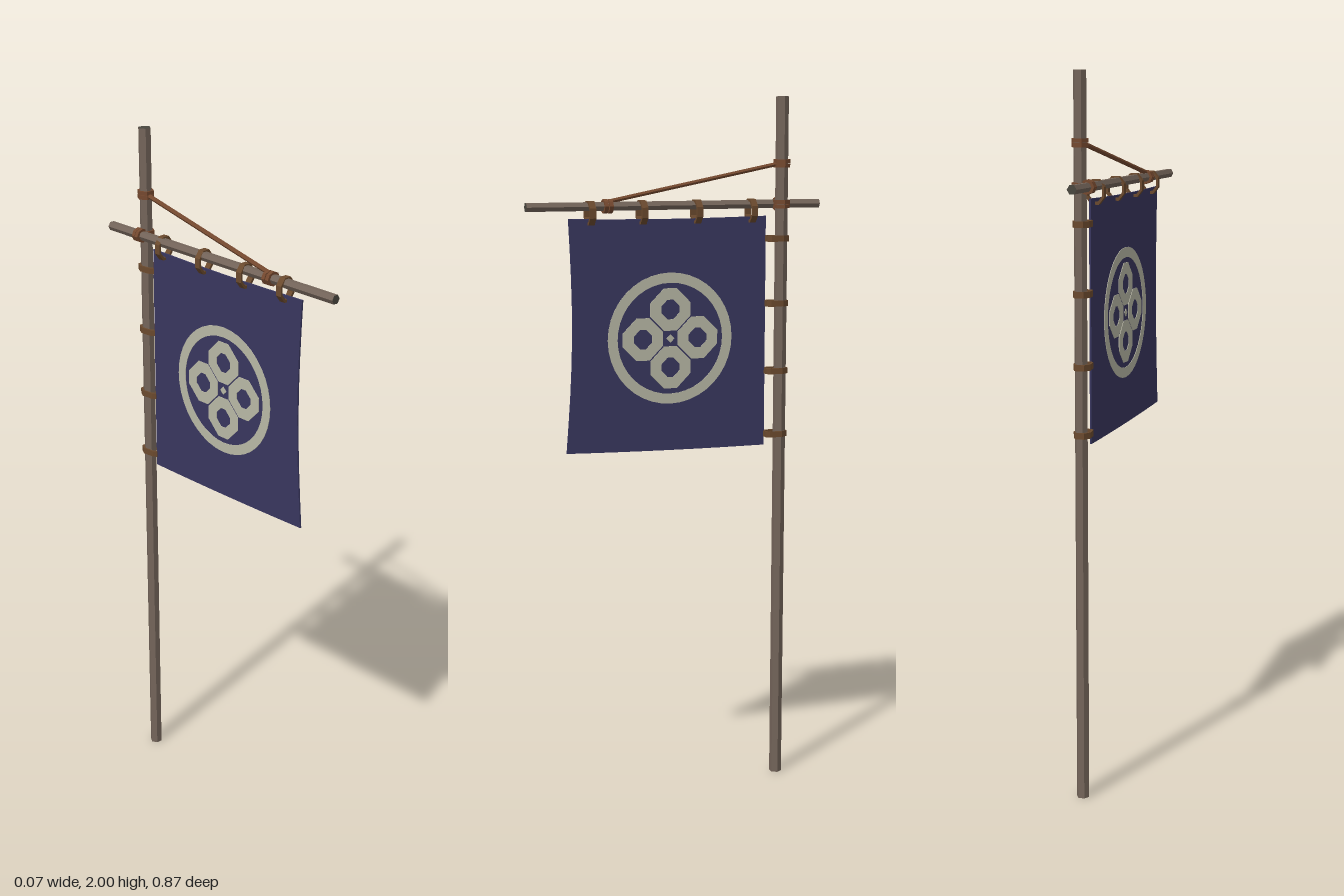
import * as THREE from 'three';

const mat = (name, color, extra = {}) => {
  const m = new THREE.MeshStandardMaterial({ color, flatShading: true, ...extra });
  m.name = name;
  return m;
};

export function createModel() {
  const group = new THREE.Group();
  const wood = mat('weathered wood', 0x74655a);
  const endGrain = mat('dark end grain', 0x4a473f);
  const cord = mat('brown cord', 0x75492f);
  const strap = mat('strap leather', 0x6b4a2e);
  const navy = mat('navy cloth', 0x39375f);
  const cream = mat('cream dye', 0xb9b8a6);

  const add = (name, geometry, material, x = 0, y = 0, z = 0) => {
    const mesh = new THREE.Mesh(geometry, material);
    mesh.name = name;
    mesh.position.set(x, y, z);
    group.add(mesh);
    return mesh;
  };

  // Six-sided rod between two points
  const rod = (name, a, b, radius, materials) => {
    const from = new THREE.Vector3(...a), to = new THREE.Vector3(...b);
    const dir = to.clone().sub(from);
    const g = new THREE.CylinderGeometry(radius, radius, dir.length(), 6);
    g.rotateY(Math.PI / 6);
    const mesh = add(name, g, materials);
    mesh.position.copy(from).add(to).multiplyScalar(0.5);
    mesh.quaternion.setFromUnitVectors(new THREE.Vector3(0, 1, 0), dir.normalize());
    return mesh;
  };

  // Closed band: an outline with a smaller copy cut out, extruded to a width
  const band = (points, inner, width) => {
    const c = new THREE.Vector2();
    points.forEach(p => c.addScaledVector(p, 1 / points.length));
    const shape = new THREE.Shape(points);
    shape.holes.push(new THREE.Path(points.map(p => p.clone().sub(c).multiplyScalar(inner).add(c))));
    const g = new THREE.ExtrudeGeometry(shape, { depth: width, bevelEnabled: false });
    return g.translate(0, 0, -width / 2);
  };
  const oval = (rx, ry, n, turn = 0) => Array.from({ length: n }, (_, i) => {
    const a = turn + i / n * Math.PI * 2;
    return new THREE.Vector2(rx * Math.cos(a), ry * Math.sin(a));
  });

  // Upright pole and the slightly skewed crossbar
  const poleX = 0.008, poleZ = -0.312, barY = 1.7;
  const barX = z => -0.01 + 0.01 * z;
  rod('pole', [poleX, 0, poleZ], [poleX, 2, poleZ], 0.018, [wood, endGrain, endGrain]);
  rod('crossbar', [barX(-0.437), barY, -0.437], [barX(0.437), barY, 0.437], 0.0135, [wood, endGrain, endGrain]);

  // Cord bindings on the pole
  for (const y of [1.808, 1.82, 1.694, 1.706]) {
    const g = band(oval(0.024, 0.024, 6), 0.72, 0.011).rotateX(-Math.PI / 2);
    add('poleBinding', g, cord, poleX, y, poleZ);
  }
  // Cord bindings on the crossbar
  for (const z of [-0.319, -0.307, 0.197, 0.211]) {
    add('crossbarBinding', band(oval(0.022, 0.02, 8), 0.65, 0.011), cord, barX(z), barY, z);
  }
  // Stay cord running from the pole to the crossbar
  rod('stayCord', [0.006, 1.815, poleZ], [-0.009, 1.712, 0.204], 0.0065, cord);

  // Straps hanging the cloth from the crossbar
  for (const z of [0.255, 0.104, -0.058, -0.224]) {
    const strapMesh = add('hangingStrap', band(oval(0.028, 0.036, 8, Math.PI / 8), 0.76, 0.018), strap, -0.004, 1.682, z);
    strapMesh.rotation.y = 0.05;
  }
  // Tapered straps tying the cloth to the pole
  const tie = [[0.012, -0.046], [0.02, -0.036], [0.024, 0], [0.013, 0.02],
    [-0.013, 0.02], [-0.024, 0], [-0.02, -0.036], [-0.012, -0.046]].map(p => new THREE.Vector2(...p));
  for (const y of [1.603, 1.418, 1.223, 1.038]) {
    const g = band(tie, 0.78, 0.017).rotateX(-Math.PI / 2);
    add('poleStrap', g, strap, 0.006, y, poleZ);
  }

  // Cloth: thin sheet with gently curved free edges
  const clothX = -0.003;
  const cloth = new THREE.BoxGeometry(0.005, 1, 1, 1, 8, 8);
  const pos = cloth.attributes.position;
  for (let i = 0; i < pos.count; i++) {
    const u = pos.getZ(i) + 0.5, v = 0.5 - pos.getY(i);
    const front = 0.318 + 0.012 * v - 0.014 * Math.sin(Math.PI * v);
    const top = 1.667 - 0.004 * Math.sin(Math.PI * u);
    const bottom = 1.005 + 0.011 * u * u;
    pos.setY(i, top + (bottom - top) * v);
    pos.setZ(i, -0.268 + (front + 0.268) * u);
  }
  cloth.computeVertexNormals();
  add('cloth', cloth, navy, clothX);

  // Dyed pattern showing on both faces: a ring around four pierced lozenges
  const dye = new THREE.Group();
  dye.name = 'dyedPattern';
  dye.position.set(clothX, 1.328, 0.022);
  dye.rotation.y = Math.PI / 2;
  group.add(dye);
  const addDye = (name, geometry, x = 0, y = 0) => {
    const mesh = new THREE.Mesh(geometry, cream);
    mesh.name = name;
    mesh.position.set(x, y, 0);
    dye.add(mesh);
  };
  addDye('dyedRing', band(oval(0.186, 0.186, 40), 0.845, 0.008));
  const r = 0.066, k = 0.016;
  const lozenge = [[r - k, -k], [r - k, k], [k, r - k], [-k, r - k],
    [k - r, k], [k - r, -k], [-k, k - r], [k, k - r]].map(([x, y]) => new THREE.Vector2(x * 1.2, y * 1.2));
  for (let i = 0; i < 4; i++) {
    const a = i * Math.PI / 2;
    addDye('dyedLozenge', band(lozenge, 0.46, 0.008), 0.082 * Math.cos(a), 0.082 * Math.sin(a));
  }
  addDye('dyedCentre', new THREE.CylinderGeometry(0.012, 0.012, 0.008, 4).rotateX(Math.PI / 2));

  return group;
}
